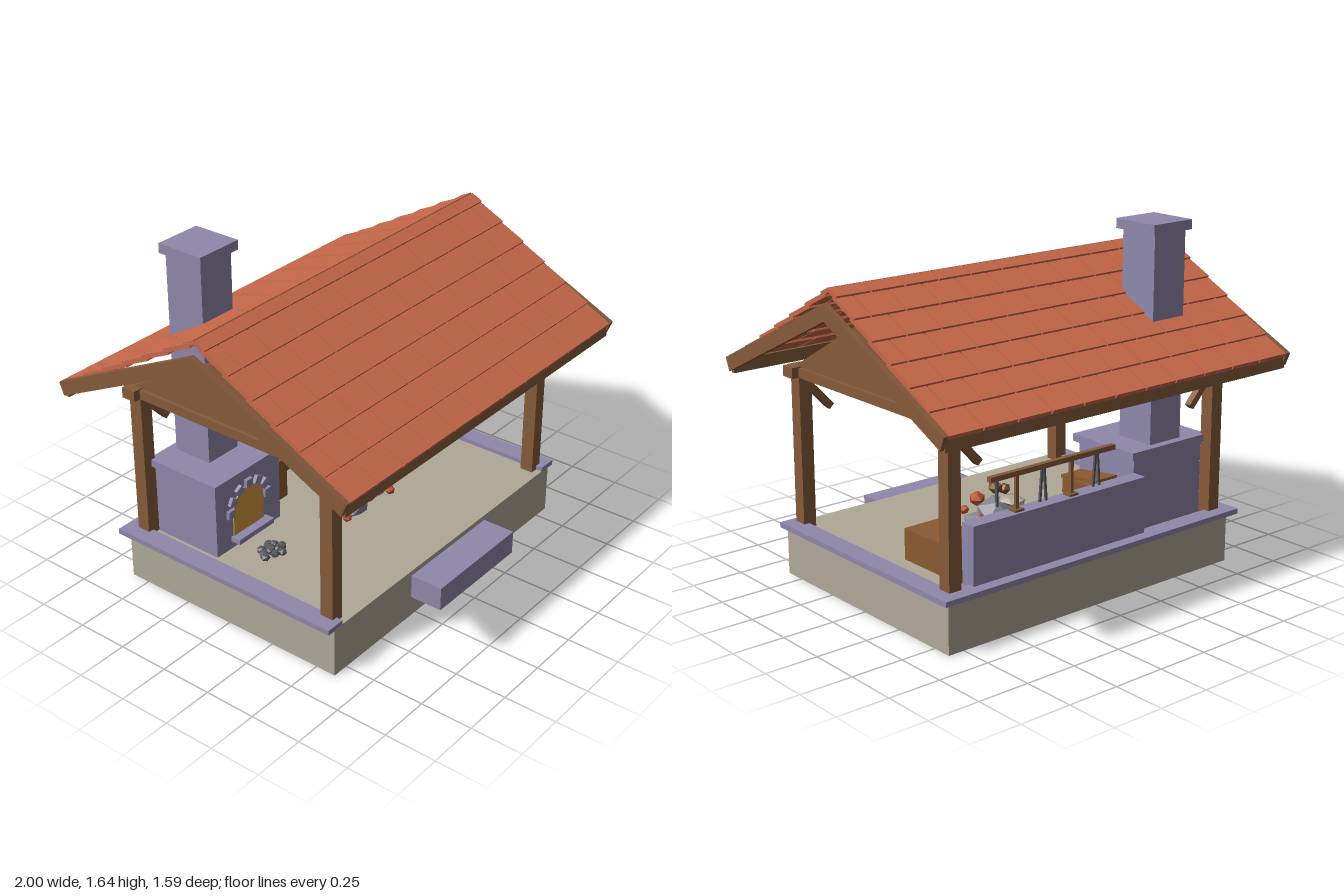
import * as THREE from 'three';

const mat = (name, color) => Object.assign(new THREE.MeshStandardMaterial({ color, flatShading: true }), { name });

export function createModel() {
  const root = new THREE.Group();
  root.name = 'forgePavilion';
  const M = {
    tile: mat('roofTile', 0xc8694a),
    slate: mat('violetStone', 0x8f88ab),
    stone: mat('paleStone', 0xb0a898),
    wood: mat('timber', 0x865a3a),
    crate: mat('crateWood', 0x8b5a32),
    fire: mat('fireGlow', 0xd0963c),
    rock: mat('greyRock', 0x85858f),
    metal: mat('darkMetal', 0x565660),
    ember: mat('ember', 0xb9502f),
    log: mat('charredWood', 0x75502c),
  };

  const add = (name, geo, material, x = 0, y = 0, z = 0, parent = root) => {
    const m = new THREE.Mesh(geo, material);
    m.name = name;
    m.position.set(x, y, z);
    parent.add(m);
    return m;
  };
  // box given by its min and max on each axis
  const box = (name, material, x0, x1, y0, y1, z0, z1, parent = root) =>
    add(name, new THREE.BoxGeometry(x1 - x0, y1 - y0, z1 - z0), material,
      (x0 + x1) / 2, (y0 + y1) / 2, (z0 + z1) / 2, parent);
  // outline in the (z, y) plane extruded along x, centred at x
  const sideExtrude = (name, material, pts, x, depth, parent = root) => {
    const shape = new THREE.Shape(pts.map(([z, y]) => new THREE.Vector2(-z, y)));
    const geo = new THREE.ExtrudeGeometry(shape, { depth, bevelEnabled: false });
    geo.translate(0, 0, -depth / 2).rotateY(Math.PI / 2);
    return add(name, geo, material, x, 0, 0, parent);
  };
  // square bar between two points
  const bar = (name, material, a, b, t, parent = root) => {
    const va = new THREE.Vector3(...a), vb = new THREE.Vector3(...b);
    const m = add(name, new THREE.BoxGeometry(t, va.distanceTo(vb), t), material, 0, 0, 0, parent);
    m.position.copy(va).lerp(vb, 0.5);
    m.quaternion.setFromUnitVectors(new THREE.Vector3(0, 1, 0), vb.sub(va).normalize());
    return m;
  };

  // platform, step and low kerb on three sides
  box('platform', M.stone, -0.83, 0.83, 0, 0.24, -0.595, 0.6);
  box('frontStep', M.slate, -0.285, 0.285, 0.1, 0.215, 0.595, 0.76);
  box('backKerb', M.slate, -0.87, 0.87, 0.235, 0.26, -0.63, -0.54);
  for (const s of [-1, 1]) {
    const k = box('sideKerb', M.slate, 0.775, 0.87, 0.235, 0.26, -0.54, 0.6);
    k.position.x *= s;
  }

  // timber frame
  for (const sx of [-1, 1]) {
    for (const sz of [-1, 1]) {
      add('post', new THREE.BoxGeometry(0.065, 0.72, 0.065), M.wood, sx * 0.77, 0.6, sz * 0.535);
      bar('brace', M.wood, [sx * 0.75, 0.925, sz * 0.535], [sx * 0.62, 0.785, sz * 0.535], 0.032);
    }
    add('tieBeam', new THREE.BoxGeometry(0.07, 0.045, 1.19), M.wood, sx * 0.77, 0.978, 0);
    sideExtrude('gablePanel', M.wood, [[-0.55, 1.0], [0.55, 1.0], [0, 1.31]], sx * 0.77, 0.04);
    sideExtrude('gableRafters', M.wood, [
      [0.795, 1.026], [0.77, 0.965], [0, 1.335], [-0.77, 0.965], [-0.795, 1.026], [0, 1.41],
    ], sx * 0.986, 0.026);
  }
  for (const s of [-1, 1]) {
    add('wallPlate', new THREE.BoxGeometry(1.68, 0.05, 0.072), M.wood, 0, 0.981, s * 0.537);
    add('eaveBoard', new THREE.BoxGeometry(1.96, 0.06, 0.018), M.wood, 0, 0.984, s * 0.768);
  }

  // overlapping tile courses, every other course shifted by half a tile
  const slope = 0.484, pitch = Math.atan(slope), tileW = 1.95 / 11, thick = 0.02;
  for (const s of [1, -1]) {
    const side = new THREE.Group();
    side.name = s > 0 ? 'frontRoof' : 'backRoof';
    root.add(side);
    for (let row = 0; row < 7; row++) {
      const z0 = 0.79 - 0.1225 * row, y0 = 1.008 + 0.07 * row;
      const run = Math.min(0.15, z0), len = run / Math.cos(pitch);
      const shift = row % 2 ? -0.5 : 0;
      for (let i = 0; i < 11 + row % 2; i++) {
        const a = Math.max(-0.975, -0.975 + (i + shift) * tileW);
        const b = Math.min(0.975, -0.975 + (i + 1 + shift) * tileW);
        const t = add('tile', new THREE.BoxGeometry(b - a - 0.008, thick, len), M.tile,
          (a + b) / 2, y0 + run * slope / 2 + thick / 2, s * (z0 - run / 2), side);
        t.rotation.x = s * pitch;
      }
    }
  }

  // hearth with chimney
  box('hearthBody', M.slate, -0.74, -0.31, 0.24, 0.59, -0.5, -0.14);
  box('hearthSlab', M.slate, -0.76, -0.285, 0.59, 0.625, -0.52, -0.12);
  box('chimney', M.slate, -0.62, -0.43, 0.62, 1.6, -0.48, -0.28);
  box('chimneyCap', M.slate, -0.64, -0.405, 1.595, 1.64, -0.5, -0.26);
  const arch = new THREE.Shape();
  arch.moveTo(-0.1, -0.13);
  arch.lineTo(0.1, -0.13);
  arch.absarc(0, 0, 0.1, 0, Math.PI, false);
  add('fireOpening', new THREE.ExtrudeGeometry(arch, { depth: 0.006, bevelEnabled: false, curveSegments: 10 }),
    M.fire, -0.53, 0.425, -0.14);
  for (let i = 0; i < 7; i++) {
    const a = Math.PI * i / 6;
    const v = add('archStone', new THREE.BoxGeometry(0.04, 0.04, 0.03), M.slate,
      -0.53 + 0.122 * Math.cos(a), 0.43 + 0.108 * Math.sin(a), -0.137);
    v.rotation.z = a - Math.PI / 2;
  }
  box('hearthSill', M.slate, -0.645, -0.41, 0.278, 0.303, -0.15, -0.09);

  // back wall with tool rack
  box('backWall', M.slate, -0.31, 0.68, 0.24, 0.525, -0.575, -0.5);
  box('rackBar', M.wood, -0.145, 0.565, 0.682, 0.705, -0.55, -0.525);
  for (const x of [0.105, 0.415]) {
    box('rackPost', M.wood, x - 0.008, x + 0.008, 0.525, 0.685, -0.545, -0.53);
    box('rackFoot', M.wood, x - 0.025, x + 0.025, 0.525, 0.535, -0.56, -0.515);
  }
  for (const x of [-0.05, 0.26])
    for (const s of [-1, 1])
      bar('tongs', M.metal, [x + s * 0.005, 0.685, -0.53], [x + s * 0.018, 0.53, -0.53], 0.01);
  box('hangingRod', M.metal, 0.515, 0.525, 0.565, 0.685, -0.54, -0.53);

  // crate
  box('crate', M.crate, 0.475, 0.68, 0.24, 0.385, -0.475, -0.1);

  // bellows on a stand, nozzle towards the hearth
  box('bellowsStand', M.crate, -0.265, -0.15, 0.24, 0.4, -0.41, -0.23);
  box('bellowsBody', M.crate, -0.26, -0.14, 0.395, 0.47, -0.43, -0.21);
  const lid = box('bellowsLid', M.crate, -0.265, -0.14, 0.478, 0.493, -0.44, -0.2);
  lid.rotation.x = 0.13;
  const nozzle = add('nozzle', new THREE.CylinderGeometry(0.012, 0.016, 0.06, 8), M.metal, -0.285, 0.437, -0.3);
  nozzle.rotation.z = Math.PI / 2;

  // faceted lumps: [material, x, y, z, rx, ry, rz, turn]
  const lump = (name, geo, [m, x, y, z, rx, ry, rz, turn]) => {
    const l = add(name, geo, m, x, y, z);
    l.scale.set(rx, ry, rz);
    l.rotation.y = turn;
  };
  const ico = new THREE.IcosahedronGeometry(1, 0);
  [
    [M.rock, -0.04, 0.26, 0.07, 0.11, 0.07, 0.09, 0.3],
    [M.rock, 0.06, 0.27, 0.03, 0.11, 0.085, 0.1, 1.1],
    [M.rock, 0.14, 0.25, 0.05, 0.08, 0.04, 0.08, 0.7],
    [M.stone, 0.0, 0.335, -0.02, 0.06, 0.022, 0.075, 0.2],
  ].forEach(d => lump('pitRock', ico, d));
  [
    [M.log, 0.005, 0.37, 0.095, 0.038, 0.032, 0.038, 0.4],
    [M.log, -0.08, 0.335, 0.13, 0.031, 0.028, 0.031, 1.3],
    [M.ember, 0.09, 0.325, 0.125, 0.039, 0.036, 0.039, 0.8],
    [M.ember, 0.145, 0.275, 0.155, 0.025, 0.023, 0.025, 0.1],
    [M.ember, -0.15, 0.262, 0.13, 0.025, 0.023, 0.025, 0.5],
    [M.ember, 0.15, 0.265, 0.03, 0.027, 0.025, 0.027, 0.9],
  ].forEach(d => lump('pitCoal', ico, d));

  // heap of coal in front of the hearth
  for (let i = 0; i < 12; i++) {
    const a = i * 2.4, r = Math.sqrt(i / 12);
    lump('coal', ico, [M.metal, -0.56 + 0.075 * r * Math.cos(a), 0.252 + 0.014 * (1 - r),
      0.02 + 0.05 * r * Math.sin(a), 0.024, 0.018, 0.024, a]);
  }
  return root;
}
